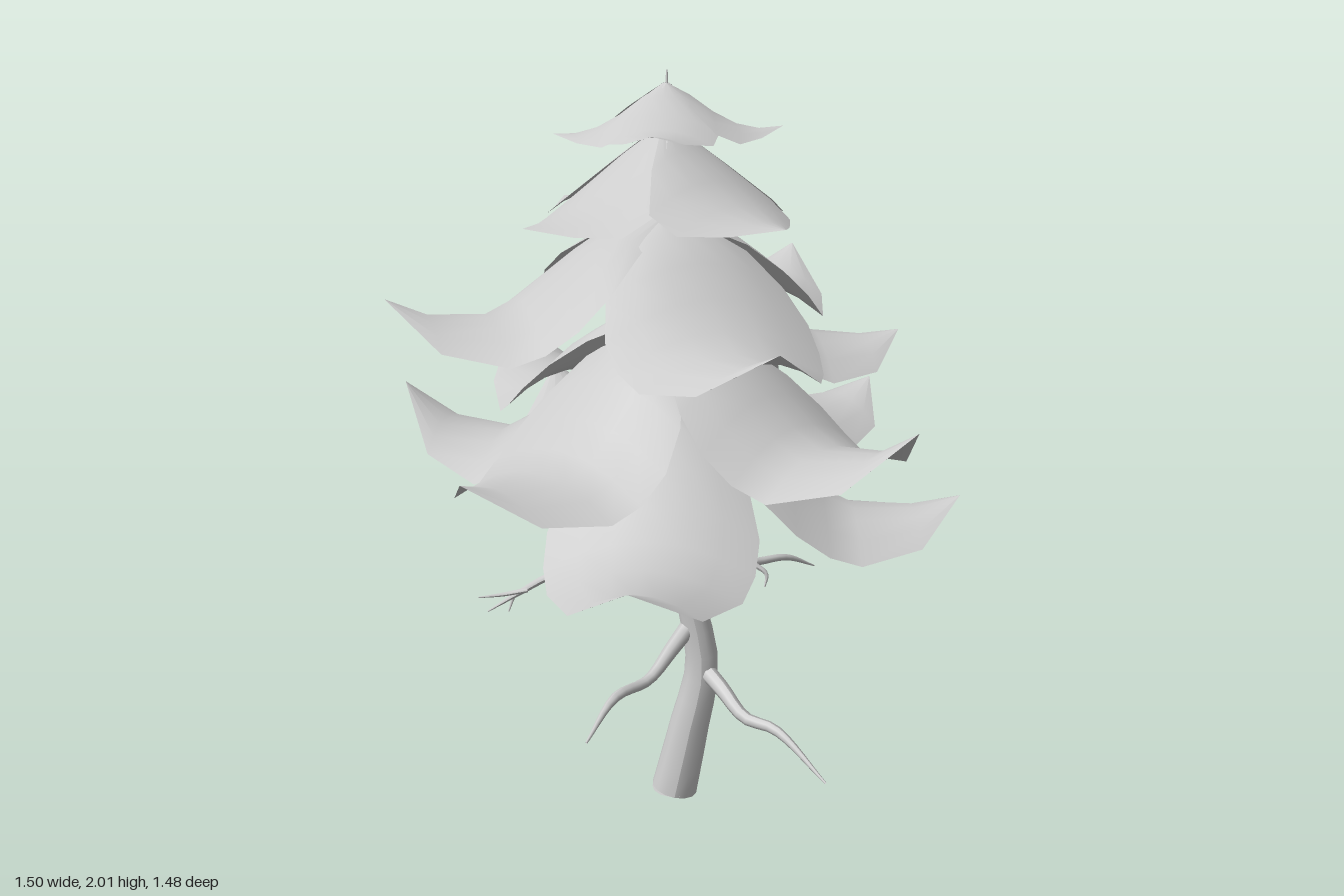
import * as THREE from 'three';

const bark = new THREE.MeshStandardMaterial({ color: 0xcccccc, side: THREE.DoubleSide });
bark.name = 'pale grey';
const CX = -0.04, CZ = -0.04; // trunk axis inside the crown

// Tapered tube through [x, y, z, radius] points
function limb(name, pts, sides = 8) {
  const curve = new THREE.CatmullRomCurve3(pts.map(p => new THREE.Vector3(p[0], p[1], p[2])), false, 'centripetal');
  const n = (pts.length - 1) * 4;
  const geo = new THREE.TubeGeometry(curve, n, 1, sides, false);
  const pos = geo.attributes.position, c = new THREE.Vector3(), v = new THREE.Vector3();
  for (let i = 0; i <= n; i++) {
    curve.getPointAt(i / n, c);
    const k = curve.getUtoTmapping(i / n) * (pts.length - 1);
    const a = Math.min(Math.floor(k), pts.length - 2);
    const r = THREE.MathUtils.lerp(pts[a][3], pts[a + 1][3], k - a);
    for (let j = 0; j <= sides; j++) {
      const id = i * (sides + 1) + j;
      v.fromBufferAttribute(pos, id).sub(c).multiplyScalar(r).add(c);
      pos.setXYZ(id, v.x, v.y, v.z);
    }
  }
  geo.computeVertexNormals();
  const mesh = new THREE.Mesh(geo, bark);
  mesh.name = name;
  return mesh;
}

// Frond stations: [distance along, share of fall left, share of dip, half width, edge drop]
const broad = [
  [0, 1, 0, 0.03, 0.01], [0.18, 0.85, 0, 0.17, 0.06], [0.3, 0.58, 0.1, 0.235, 0.08], [0.42, 0.33, 0.4, 0.265, 0.085],
  [0.53, 0.15, 0.75, 0.26, 0.08], [0.64, 0.05, 1, 0.235, 0.075], [0.85, 0, 0.7, 0.155, 0.06], [1, 0, 0, 0.002, 0]];
const pointed = [
  [0, 1, 0, 0.03, 0.005], [0.2, 0.72, 0, 0.3, 0.1], [0.4, 0.42, 0.3, 0.5, 0.15],
  [0.6, 0.2, 0.5, 0.47, 0.13], [0.8, 0.06, 0.4, 0.25, 0.06], [1, 0, 0, 0.004, 0]];

// Arched sheet from the trunk out to a raised tip
function frond(name, [x, y, z], top, dip, small) {
  const R = Math.hypot(x - CX, z - CZ), ux = (x - CX) / R, uz = (z - CZ) / R;
  const rows = small ? pointed : broad, scale = small ? R : 1, across = 6;
  const verts = [], idx = [];
  rows.forEach(([t, fall, sag, w, drop], i) => {
    for (let j = 0; j <= across; j++) {
      const s = j / across * 2 - 1, side = s * w * scale;
      verts.push(CX + ux * R * t - uz * side,
        y + fall * (top - y) - sag * dip - drop * scale * s * s,
        CZ + uz * R * t + ux * side);
      if (i && j) {
        const d = i * (across + 1) + j, c = d - 1, b = d - across - 1, a = b - 1;
        idx.push(a, b, c, b, d, c);
      }
    }
  });
  const geo = new THREE.BufferGeometry();
  geo.setAttribute('position', new THREE.Float32BufferAttribute(verts, 3));
  geo.setIndex(idx);
  geo.computeVertexNormals();
  // Keep the upper face as the front
  if (geo.attributes.normal.getY(Math.floor(rows.length / 2) * (across + 1) + 3) < 0) {
    idx.reverse();
    geo.setIndex(idx);
    geo.computeVertexNormals();
  }
  const mesh = new THREE.Mesh(geo, bark);
  mesh.name = name;
  return mesh;
}

// Crown tiers: trunk height and frond tips as [x, y, z, dip, own top]
const tiers = [
  { name: 'crownTier', top: 1.965, small: true, tips: [
    [0.25, 1.86, -0.05, 0.03], [-0.07, 1.86, 0.24, 0.03], [-0.32, 1.845, -0.01, 0.02], [-0.1, 1.85, -0.32, 0.02]] },
  { name: 'upperTier', top: 1.87, small: true, tips: [
    [-0.32, 1.65, -0.34, 0.01], [0.19, 1.65, -0.39, 0.01], [0.24, 1.65, 0.26, 0.01], [-0.38, 1.64, 0.18, 0.01]] },
  { name: 'middleTier', top: 1.65, tips: [
    [-0.72, 1.47, 0.18, 0.07], [-0.22, 1.56, -0.67, 0.1], [0.32, 1.48, -0.57, 0.08], [0.57, 1.33, -0.11, 0.02], [0.21, 1.43, 0.585, 0.06]] },
  { name: 'lowerTier', top: 1.37, tips: [
    [0.55, 1.2, 0.41, 0.1], [0.54, 1.12, -0.415, 0.05], [0.07, 1.26, -0.69, 0.1, 1.42], [-0.49, 1.27, -0.52, 0.12, 1.4], [-0.51, 1.1, 0.49, 0.05]] },
  { name: 'bottomTier', top: 1.16, tips: [
    [-0.12, 0.935, 0.735, 0.07], [0.745, 0.89, -0.035, 0.05], [0.19, 0.88, -0.74, 0.05], [-0.39, 1.09, -0.69, 0.11, 1.22], [-0.75, 1.17, -0.17, 0.13, 1.28]] },
];

export function createModel() {
  const tree = new THREE.Group();
  tree.name = 'pineTree';

  // Leaning trunk with a closed foot
  tree.add(limb('trunk', [
    [-0.022, 0, -0.036, 0.065], [0.02, 0.2, -0.036, 0.056], [0.055, 0.39, -0.036, 0.047], [0.015, 0.62, -0.036, 0.038],
    [-0.03, 0.86, -0.036, 0.031], [-0.04, 1.3, -0.04, 0.024], [-0.04, 1.75, -0.04, 0.014], [-0.038, 1.995, -0.04, 0.002]], 14));
  const foot = new THREE.Mesh(new THREE.CircleGeometry(0.064, 14), bark);
  foot.name = 'trunkBase';
  foot.rotation.x = Math.PI / 2;
  foot.position.set(-0.022, 0.002, -0.036);
  tree.add(foot);

  // Bare branches and their twigs
  const branches = {
    frontRightBranch: [[0.06, 0.38, -0.03, 0.025], [0.11, 0.355, 0.05, 0.022], [0.17, 0.31, 0.13, 0.017], [0.25, 0.3, 0.18, 0.014], [0.375, 0.21, 0.3, 0.003]],
    frontLeftBranch: [[0.02, 0.51, -0.03, 0.025], [-0.03, 0.46, 0.02, 0.021], [-0.09, 0.4, 0.08, 0.015], [-0.18, 0.4, 0.19, 0.013], [-0.25, 0.32, 0.285, 0.003]],
    leftBranch: [[-0.01, 0.77, -0.04, 0.022], [-0.1, 0.71, -0.08, 0.019], [-0.2, 0.645, -0.12, 0.015], [-0.35, 0.62, -0.14, 0.012], [-0.46, 0.55, -0.17, 0.009], [-0.56, 0.48, -0.19, 0.002]],
    leftTwigOuter: [[-0.44, 0.56, -0.16, 0.008], [-0.51, 0.55, -0.15, 0.006], [-0.575, 0.55, -0.13, 0.002]],
    leftTwigInner: [[-0.45, 0.555, -0.17, 0.007], [-0.48, 0.53, -0.2, 0.006], [-0.5, 0.48, -0.19, 0.002]],
    rightBranch: [[-0.01, 0.73, -0.04, 0.022], [0.06, 0.7, -0.08, 0.019], [0.14, 0.65, -0.14, 0.015], [0.21, 0.63, -0.2, 0.012], [0.3, 0.62, -0.26, 0.01], [0.39, 0.565, -0.33, 0.002]],
    rightTwigUpper: [[0.12, 0.66, -0.13, 0.01], [0.17, 0.68, -0.15, 0.007], [0.185, 0.705, -0.18, 0.002]],
    rightTwigLower: [[0.2, 0.63, -0.19, 0.009], [0.24, 0.6, -0.18, 0.006], [0.235, 0.565, -0.17, 0.002]],
    backBranch: [[0, 0.68, -0.05, 0.018], [-0.08, 0.68, -0.11, 0.014], [-0.16, 0.71, -0.14, 0.01], [-0.24, 0.71, -0.17, 0.003]],
    backTwig: [[-0.17, 0.7, -0.14, 0.009], [-0.245, 0.65, -0.17, 0.006], [-0.275, 0.575, -0.19, 0.002]],
  };
  for (const [name, pts] of Object.entries(branches)) tree.add(limb(name, pts));

  // Foliage, tier by tier
  for (const { name, top, small, tips } of tiers) {
    const tier = new THREE.Group();
    tier.name = name;
    for (const [x, y, z, dip, own] of tips) tier.add(frond('frond', [x, y, z], own ?? top, dip, small));
    tree.add(tier);
  }
  return tree;
}
